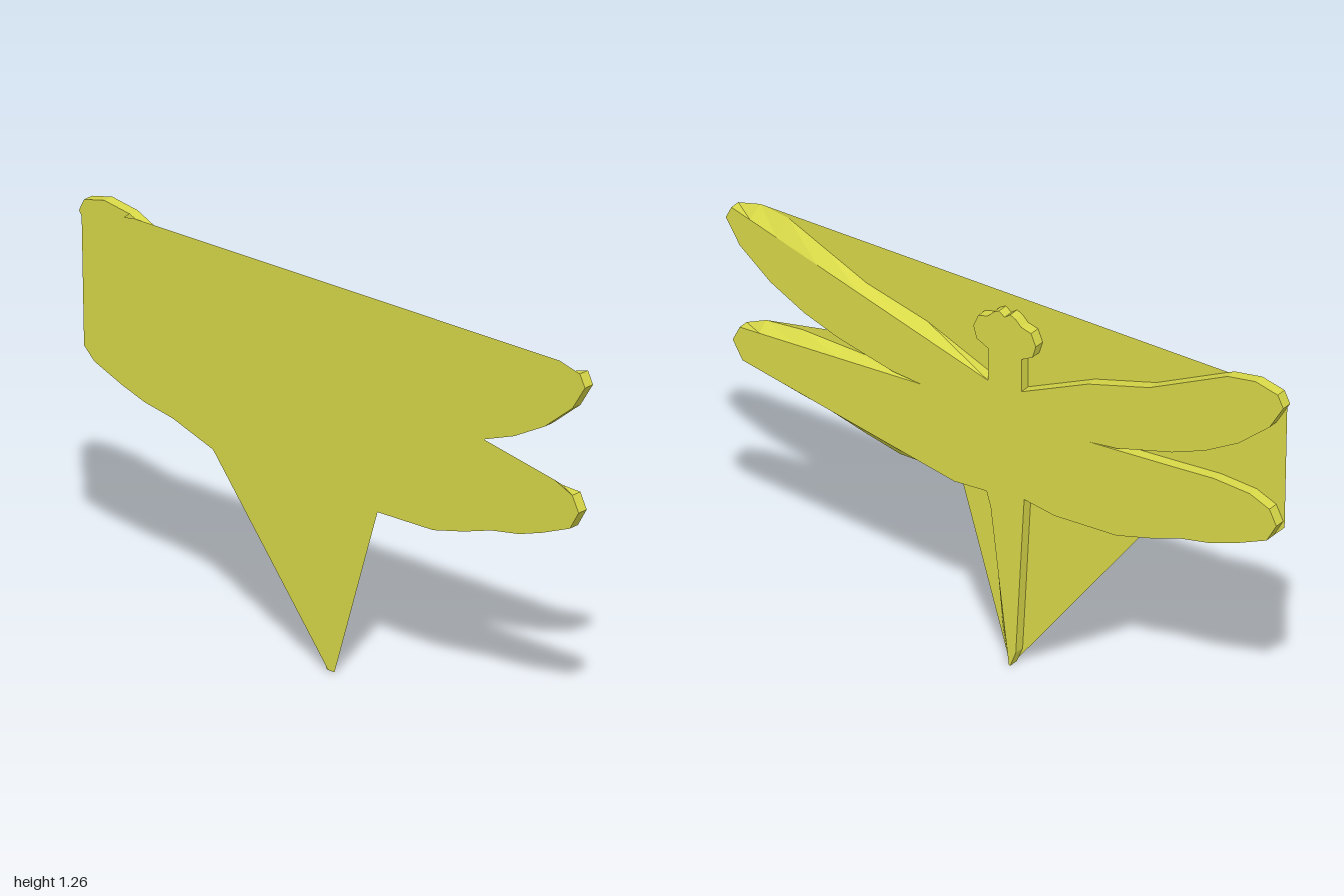
import * as THREE from 'three';

const X = 0.018; // half thickness

// Outline pieces as [z, y], from the top of the head round the +z side
const head = [[0, 1.185], [.02, 1.2], [.04, 1.19], [.06, 1.17], [.095, 1.16], [.112, 1.12], [.1, 1.08], [.06, 1.06]];
const wingTop = [[.06, .95], [.3, 1.055], [.52, 1.115], [.66, 1.18], [.8, 1.245], [.9, 1.26], [.98, 1.24]];
const wingEdge = [[1, 1.2], [.95, 1.12], [.84, 1.03], [.72, .965], [.6, .92], [.4, .868]];
const hindTop = [[.3, .858], [.6, .872], [.75, .88], [.88, .87], [.95, .84]];
const hindTip = [[.975, .79]];
const hindBottom = [[.94, .73], [.83, .685], [.74, .655], [.63, .635], [.52, .6], [.4, .57], [.18, .565]];
const waist = [[.065, .57]];
const tail = [[.05, .52], [.045, .3], [.03, .1], [.01, 0], [-.015, .003]];
const tailFar = [[-.02, 0], [-.04, .05], [-.07, .585]];

const mirror = (pts) => pts.map(([z, y]) => [-z, y]).reverse();

// Drops every point onto the straight line between the first and the last
function chord(pts) {
  const [a, b] = [pts[0], pts[pts.length - 1]];
  const d = [b[0] - a[0], b[1] - a[1]];
  const len2 = d[0] * d[0] + d[1] * d[1];
  return pts.map(([z, y]) => {
    const t = Math.min(1, Math.max(0, ((z - a[0]) * d[0] + (y - a[1]) * d[1]) / len2));
    return [a[0] + d[0] * t, a[1] + d[1] * t];
  });
}

// Full ring; pull flattens the +z edges so their walls slope
function ring(pull) {
  return [
    ...head, ...pull(wingTop), ...wingEdge, ...pull(hindTop), ...hindTip,
    ...pull(hindBottom), ...waist, ...pull(tail), ...tailFar,
    ...mirror([...head.slice(1), ...wingTop, ...wingEdge, ...hindTop, ...hindTip, ...hindBottom]),
  ];
}

// Flat cap at a given x, facing +x or -x
function cap(pts, x, facing) {
  const outline = pts.map(([z, y]) => new THREE.Vector2(-z, y));
  const g = new THREE.BufferGeometry();
  g.setAttribute('position', new THREE.Float32BufferAttribute(pts.flatMap(([z, y]) => [x, y, z]), 3));
  g.setIndex(THREE.ShapeUtils.triangulateShape(outline, [])
    .flatMap(([a, b, c]) => (facing > 0 ? [a, b, c] : [a, c, b])));
  g.computeVertexNormals();
  return g;
}

// Band of wall quads between the front ring and the rear ring
function wall(front, rear) {
  const n = front.length;
  const pos = [];
  const put = ([z, y], x) => pos.push(x, y, z);
  for (let i = 0; i < n; i++) {
    const j = (i + 1) % n;
    put(front[i], X); put(rear[i], -X); put(rear[j], -X);
    put(front[i], X); put(rear[j], -X); put(front[j], X);
  }
  const g = new THREE.BufferGeometry();
  g.setAttribute('position', new THREE.Float32BufferAttribute(pos, 3));
  g.computeVertexNormals();
  return g;
}

export function createModel() {
  const group = new THREE.Group();
  const material = new THREE.MeshStandardMaterial({ color: 0xd8d848, flatShading: true, side: THREE.DoubleSide });
  const add = (name, geometry) => {
    const mesh = new THREE.Mesh(geometry, material);
    mesh.name = name;
    group.add(mesh);
  };

  // Raised insect silhouette
  const front = ring(chord);
  const rear = ring((pts) => pts);
  add('insectFace', cap(front, X, 1));
  add('insectEdge', wall(front, rear));

  // Webbed plate joining the wings and tail behind
  const plate = [
    ...wingTop.slice(-2), ...wingEdge.slice(0, 5), ...hindTop.slice(-2), ...hindTip, ...hindBottom,
    [.01, 0], [-.015, 0], [-.47, .58], ...mirror(hindBottom.slice(0, 4)),
    [-.98, .77], [-.99, 1.2], [-.78, 1.235],
  ];
  add('backPlate', cap(plate, -X, -1));

  // Wing tip reaching past the plate
  const tip = mirror([...wingTop.slice(4), ...wingEdge.slice(0, 2)]);
  add('wingTipBack', cap(tip, -X, -1));
  return group;
}
